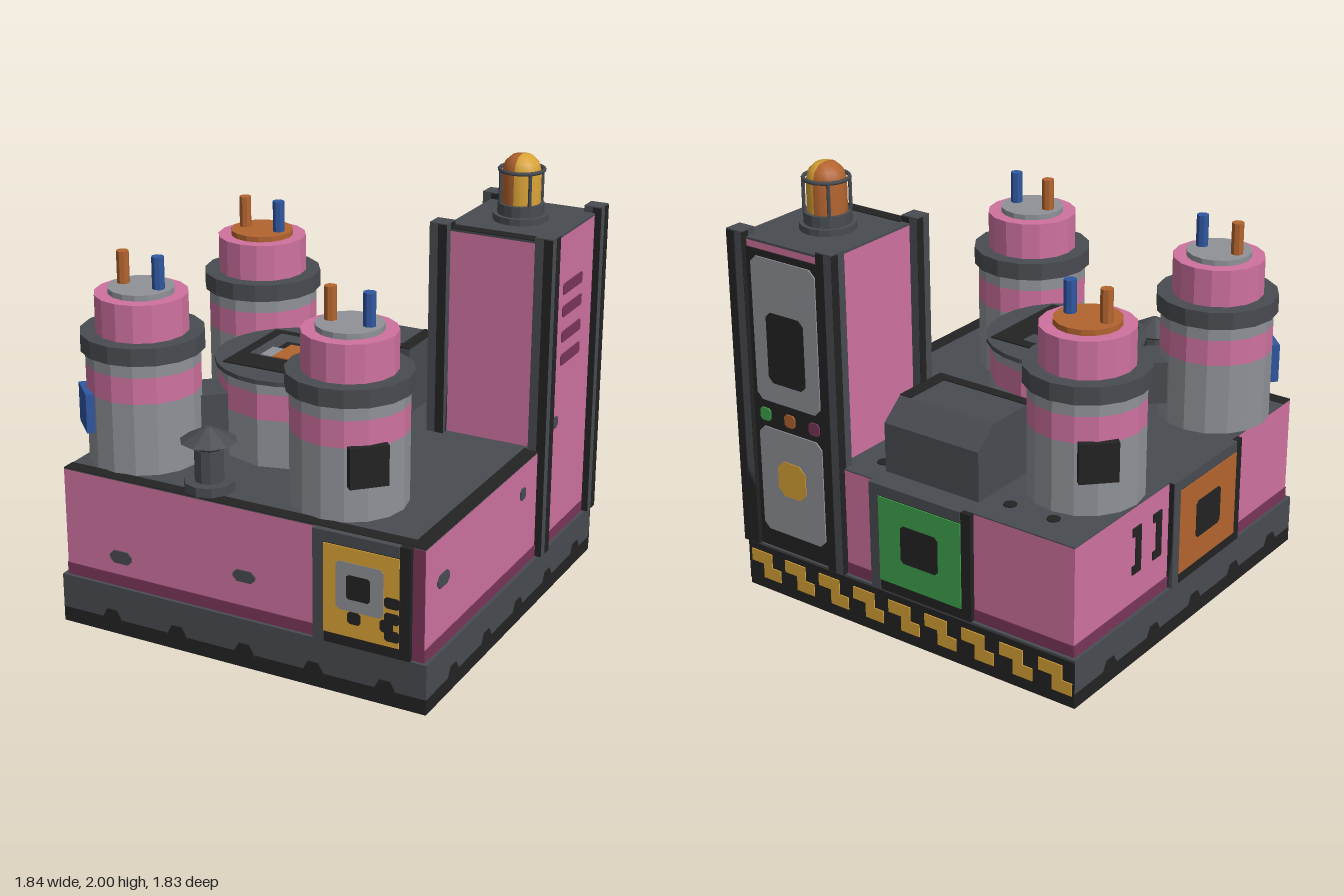
import * as THREE from 'three';

const mat = (name, color) => {
  const m = new THREE.MeshStandardMaterial({ color });
  m.name = name;
  return m;
};

export function createModel() {
  const pink = mat('pink', 0xcf729f), plum = mat('plum', 0x7a3659), dark = mat('dark grey', 0x484b50);
  const black = mat('black', 0x232323), grey = mat('grey', 0x8f9298), yellow = mat('yellow', 0xd9a336);
  const orange = mat('orange', 0xb3642f), blue = mat('blue', 0x2f57a0), green = mat('green', 0x3fa34d);
  const model = new THREE.Group();
  model.name = 'powerStation';

  const add = (name, geo, m, x = 0, y = 0, z = 0, parent = model) => {
    const mesh = new THREE.Mesh(geo, m);
    mesh.name = name;
    mesh.position.set(x, y, z);
    parent.add(mesh);
    return mesh;
  };
  // Box given by its limits on each axis
  const box = (name, m, x0, x1, y0, y1, z0, z1, parent) =>
    add(name, new THREE.BoxGeometry(x1 - x0, y1 - y0, z1 - z0), m,
      (x0 + x1) / 2, (y0 + y1) / 2, (z0 + z1) / 2, parent);
  const flat = (geo) => {
    const g = geo.index ? geo.toNonIndexed() : geo;
    g.computeVertexNormals();
    return g;
  };
  // Flat-sided drum from y0 to y1
  const drum = (name, m, x, z, r, y0, y1, sides = 16, parent = model, rTop = r) =>
    add(name, flat(new THREE.CylinderGeometry(rTop, r, y1 - y0, sides)), m, x, (y0 + y1) / 2, z, parent);

  // Wall frames: local x runs along the wall, local z points outwards
  const wall = (name, angle, dist) => {
    const g = new THREE.Group();
    g.name = name;
    const inner = new THREE.Group();
    inner.position.z = dist;
    g.rotation.y = angle;
    g.add(inner);
    model.add(g);
    return inner;
  };
  const plate = (w, name, m, u0, u1, y0, y1, t = 0.006, base = 0) =>
    box(name, m, u0, u1, y0, y1, base, base + t, w);
  const shapePlate = (w, name, m, pts, base = 0) =>
    add(name, new THREE.ExtrudeGeometry(new THREE.Shape(pts.map((p) => new THREE.Vector2(...p))),
      { depth: 0.006, bevelEnabled: false }), m, 0, 0, base, w);
  // Plate with clipped corners
  const clipped = (w, name, m, u, y, a, b, c, base = 0) =>
    shapePlate(w, name, m, [[u - a, y - b + c], [u - a + c, y - b], [u + a - c, y - b], [u + a, y - b + c],
      [u + a, y + b - c], [u + a - c, y + b], [u - a + c, y + b], [u - a, y + b - c]], base);

  // Plinth and main housing
  box('plinthFoot', black, -0.9, 0.9, 0, 0.07, -0.9, 0.9);
  box('plinth', dark, -0.9, 0.9, 0.07, 0.23, -0.9, 0.9);
  box('housing', pink, -0.88, 0.88, 0.23, 0.735, -0.88, 0.88);
  box('deck', dark, -0.88, 0.88, 0.735, 0.74, -0.88, 0.88);
  box('deckSideEdge', black, 0.81, 0.88, 0.74, 0.743, -0.27, 0.88);
  box('deckFrontEdge', black, -0.88, 0.81, 0.74, 0.743, 0.815, 0.88);
  for (const x of [-0.67, -0.45, 0.23]) drum('deckBolt', black, x, -0.73, 0.03, 0.74, 0.746, 8);

  // Notches in the plinth foot and the dark skirting line on each wall
  [0, Math.PI / 2, Math.PI, -Math.PI / 2].forEach((angle, i) => {
    const skirt = wall('skirting', angle, 0.88);
    plate(skirt, 'skirtingLine', plum, -0.88, 0.88, 0.23, 0.285, 0.004);
    const foot = wall('plinthTrim', angle, 0.9);
    if (i === 2) {
      plate(foot, 'hazardBand', black, -0.9, 0.9, 0.03, 0.22, 0.004);
      for (let k = 0; k < 9; k++) {
        const u = -0.8 + k * 0.2;
        shapePlate(foot, 'hazardStripe', yellow, [[u - 0.01, 0.06], [u + 0.09, 0.06], [u + 0.09, 0.12],
          [u + 0.04, 0.12], [u + 0.04, 0.19], [u - 0.08, 0.19], [u - 0.08, 0.13], [u - 0.01, 0.13]], 0.003);
      }
    } else {
      for (let k = 0; k < 5; k++) {
        const u = -0.64 + k * 0.338;
        shapePlate(foot, 'plinthNotch', black,
          [[u - 0.055, 0.06], [u + 0.055, 0.06], [u + 0.025, 0.115], [u - 0.025, 0.115]]);
      }
    }
  });

  // Framed access panels
  const panel = (name, angle, u, half, m) => {
    const w = wall(name, angle, 0.88);
    plate(w, 'panelFrame', black, u - half, u + half, 0.23, 0.738, 0.024);
    plate(w, 'panelFrameSide', dark, u - half, u - half + 0.05, 0.23, 0.74, 0.028);
    plate(w, 'panelFrameTop', dark, u - half, u + half - 0.05, 0.69, 0.74, 0.028);
    plate(w, 'panelFace', m, u - half + 0.05, u + half - 0.05, 0.28, 0.685, 0.006, 0.023);
    return w;
  };
  const front = panel('frontPanel', 0, 0.6, 0.225, yellow);
  clipped(front, 'socketRim', grey, 0.595, 0.51, 0.11, 0.11, 0.015, 0.025);
  clipped(front, 'socket', black, 0.59, 0.51, 0.055, 0.055, 0.01, 0.028);
  for (const y of [0.33, 0.41, 0.48]) clipped(front, 'panelNotch', black, 0.745, y, 0.035, 0.025, 0.01, 0.025);
  for (const u of [0.57, 0.72]) clipped(front, 'panelNotch', black, u, 0.37, 0.03, 0.028, 0.01, 0.025);
  plate(front, 'frontEdge', plum, 0.825, 0.88, 0.285, 0.735, 0.004);
  const back = panel('backPanel', Math.PI, 0.1, 0.27, green);
  clipped(back, 'socket', black, 0.1, 0.49, 0.1, 0.09, 0.015, 0.026);
  const left = panel('sidePanel', -Math.PI / 2, 0.115, 0.285, orange);
  clipped(left, 'socket', black, 0.115, 0.49, 0.1, 0.09, 0.015, 0.026);
  for (const s of [-1, 1]) {
    const u = -0.33 + s * 0.08;
    plate(left, 'bracketBar', black, u - 0.02, u + 0.02, 0.42, 0.64);
    for (const y of [0.42, 0.6]) plate(left, 'bracketEnd', black, u - 0.045, u + 0.02, y, y + 0.04);
  }
  // Small recesses on the front and side walls
  clipped(front, 'slot', dark, -0.595, 0.37, 0.055, 0.03, 0.02);
  clipped(front, 'slot', dark, 0.03, 0.425, 0.055, 0.027, 0.02);
  const right = wall('sideWall', Math.PI / 2, 0.88);
  clipped(right, 'slot', dark, -0.715, 0.54, 0.055, 0.03, 0.02);
  clipped(right, 'bolt', dark, 0.1, 0.6, 0.027, 0.027, 0.012);

  // Tower with corner posts
  box('tower', pink, 0.37, 0.883, 0.23, 1.69, -0.883, -0.3);
  box('towerRoof', dark, 0.37, 0.883, 1.69, 1.7, -0.883, -0.3);
  box('towerRoofEdge', black, 0.41, 0.83, 1.7, 1.704, -0.36, -0.3);
  for (const x of [0.37, 0.872]) {
    for (const z of [-0.87, -0.303]) {
      box('towerPost', dark, x - 0.042, x + 0.042, 0.23, 1.73, z - 0.042, z + 0.042);
      box('postSideShade', black, x - 0.044, x + 0.044, 0.23, 1.725, z - 0.042, z);
      box('postFrontShade', black, x, x + 0.042, 0.23, 1.725, z - 0.044, z + 0.044);
    }
  }
  const vents = wall('towerVents', Math.PI / 2, 0.882);
  for (const y of [1.44, 1.335, 1.215, 1.105]) clipped(vents, 'ventSlit', plum, 0.585, y, 0.11, 0.026, 0.008);
  clipped(vents, 'bolt', dark, 0.44, 0.82, 0.027, 0.027, 0.012);

  // Tower control face at the back
  const ctrl = wall('controlFace', Math.PI, 0.88);
  plate(ctrl, 'controlBacking', black, -0.83, -0.41, 0.23, 1.66, 0.01);
  clipped(ctrl, 'upperPanel', grey, -0.62, 1.295, 0.18, 0.335, 0.03, 0.01);
  clipped(ctrl, 'screen', black, -0.62, 1.22, 0.105, 0.165, 0.025, 0.013);
  clipped(ctrl, 'lowerPanel', grey, -0.62, 0.575, 0.18, 0.255, 0.03, 0.01);
  clipped(ctrl, 'warningBadge', yellow, -0.62, 0.6, 0.08, 0.085, 0.035, 0.013);
  [green, orange, plum].forEach((m, i) =>
    clipped(ctrl, 'button', m, -0.76 + i * 0.14, 0.89, 0.03, 0.03, 0.012, 0.01));

  // Beacon lamp in a cage
  const bx = 0.62, bz = -0.59;
  drum('beaconFoot', dark, bx, bz, 0.125, 1.7, 1.73);
  drum('beaconSocket', dark, bx, bz, 0.105, 1.73, 1.78);
  const dome = [[0.088, 1.78], [0.088, 1.92], [0.075, 1.965], [0.045, 1.993], [0, 2]]
    .map((p) => new THREE.Vector2(...p));
  add('lampBright', new THREE.LatheGeometry(dome, 8, 0, Math.PI), yellow, bx, 0, bz);
  add('lampDeep', new THREE.LatheGeometry(dome, 8, Math.PI, Math.PI), orange, bx, 0, bz);
  for (let i = 0; i < 4; i++) {
    const a = Math.PI / 4 + i * Math.PI / 2;
    drum('cageBar', dark, bx + 0.1 * Math.cos(a), bz + 0.1 * Math.sin(a), 0.008, 1.78, 1.93, 6);
  }
  add('cageRing', new THREE.TorusGeometry(0.1, 0.009, 6, 20), dark, bx, 1.93, bz).rotation.x = Math.PI / 2;

  // Capacitor cells with two terminals and a side plate
  const tx = -0.14, tz = 0.12;
  const cell = (x, z, capMat, plateMat, sx, sz) => {
    const g = new THREE.Group();
    g.name = 'cell';
    g.position.set(x, 0, z);
    model.add(g);
    drum('cellBody', grey, 0, 0, 0.256, 0.74, 1.07, 16, g);
    drum('cellStripe', pink, 0, 0, 0.256, 1.07, 1.19, 16, g);
    drum('cellNeck', grey, 0, 0, 0.256, 1.19, 1.25, 16, g);
    drum('cellCollar', dark, 0, 0, 0.275, 1.25, 1.33, 16, g);
    drum('cellHead', pink, 0, 0, 0.207, 1.33, 1.5, 16, g);
    drum('cellCap', capMat, 0, 0, 0.147, 1.5, 1.525, 16, g);
    drum('terminal', orange, -0.09, 0, 0.028, 1.525, 1.67, 8, g);
    drum('terminal', blue, 0.09, 0, 0.028, 1.525, 1.67, 8, g);
    const p = add('cellPlate', new THREE.BoxGeometry(0.17, 0.18, 0.05), plateMat, sx * 0.178, 0.99, sz * 0.178, g);
    p.rotation.y = Math.atan2(sx, sz);
    // Coupling to the central tank
    const a = Math.atan2(x - tx, z - tz);
    const c = add('coupling', new THREE.BoxGeometry(0.2, 0.2, 0.16), dark,
      tx + 0.39 * Math.sin(a), 0.93, tz + 0.39 * Math.cos(a));
    c.rotation.y = a;
  };
  cell(-0.65, 0.57, grey, blue, -1, 1);
  cell(0.37, 0.57, grey, black, 1, 1);
  cell(-0.62, -0.42, orange, black, -1, -1);

  // Central tank with a tray on top
  drum('tankBody', grey, tx, tz, 0.345, 0.74, 0.96, 12);
  drum('tankStripe', pink, tx, tz, 0.345, 0.96, 1.08, 12);
  drum('tankNeck', grey, tx, tz, 0.345, 1.08, 1.13, 12);
  drum('tankLid', dark, tx, tz, 0.36, 1.13, 1.15, 24);
  box('tray', black, -0.375, 0.1, 1.15, 1.156, -0.12, 0.355);
  box('trayBandBack', dark, -0.32, -0.04, 1.156, 1.159, -0.07, 0.01);
  box('trayBandSide', dark, -0.32, -0.245, 1.156, 1.159, 0.01, 0.215);
  box('trayTab', grey, -0.265, -0.2, 1.156, 1.161, 0.105, 0.215);
  box('trayBlock', orange, -0.205, -0.04, 1.156, 1.162, 0.045, 0.215);

  // Deck cabinet with a sloped back edge
  const profile = new THREE.Shape([[0.79, 0.74], [0.79, 0.97], [0.68, 1.06], [0.4, 1.06], [0.4, 0.74]]
    .map((p) => new THREE.Vector2(...p)));
  const cabinet = add('cabinet', new THREE.ExtrudeGeometry(profile, { depth: 0.5, bevelEnabled: false }),
    dark, -0.33, 0, 0);
  cabinet.rotation.y = Math.PI / 2;
  box('cabinetSideEdge', black, 0.11, 0.17, 1.06, 1.064, -0.68, -0.4);
  box('cabinetFrontEdge', black, -0.33, 0.11, 1.06, 1.064, -0.45, -0.4);

  // Vent chimney
  drum('ventFoot', dark, -0.2, 0.77, 0.112, 0.74, 0.785, 10);
  drum('ventStem', dark, -0.2, 0.77, 0.065, 0.785, 0.93, 10);
  drum('ventLip', dark, -0.2, 0.77, 0.06, 0.93, 0.965, 10, model, 0.085);
  drum('ventHat', dark, -0.2, 0.77, 0.125, 0.965, 1.025, 10, model, 0.015);

  return model;
}
